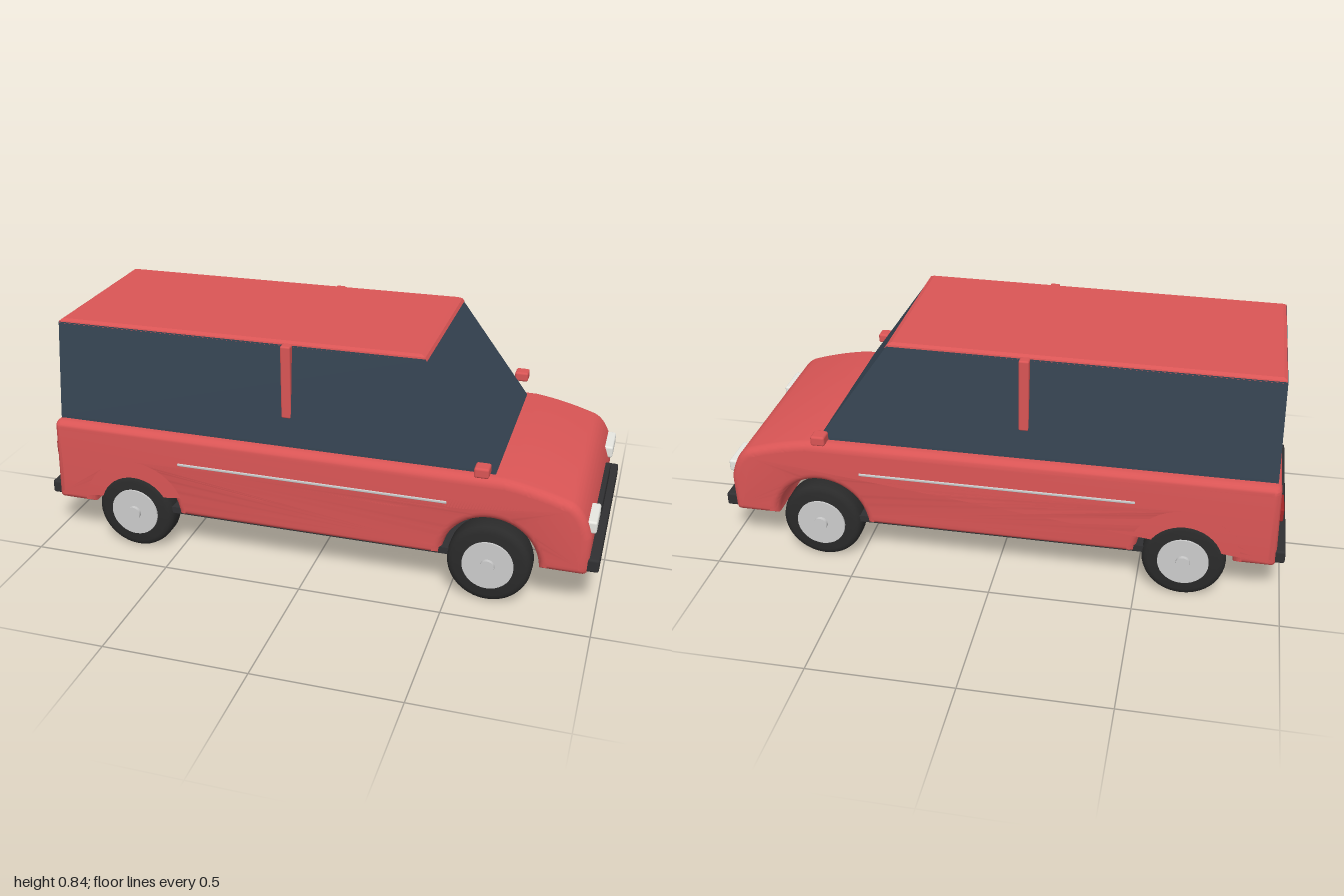
import * as THREE from 'three';
import { toCreasedNormals } from 'three/addons/utils/BufferGeometryUtils.js';
import { RoundedBoxGeometry } from 'three/addons/geometries/RoundedBoxGeometry.js';
import { ConvexGeometry } from 'three/addons/geometries/ConvexGeometry.js';

const paint = (color) => new THREE.MeshStandardMaterial({ color });
const RED = paint(0xd95555), GLASS = paint(0x364452), DARK = paint(0x303032);
const RUBBER = paint(0x2a2a2a), METAL = paint(0xbcbcbc), LAMP = paint(0xe6e6e0), TAIL = paint(0xa32626);
const AXLES = { rear: -0.66, front: 0.635 };
const AXLE_Y = 0.147;

export function createModel() {
  const car = new THREE.Group();
  car.name = 'car';

  const add = (name, geometry, material, x = 0, y = 0, z = 0, parent = car) => {
    const mesh = new THREE.Mesh(geometry, material);
    mesh.name = name;
    mesh.position.set(x, y, z);
    parent.add(mesh);
    return mesh;
  };
  const block = (name, w, h, d, r, material, x, y, z) =>
    add(name, new RoundedBoxGeometry(w, h, d, 3, r), material, x, y, z);

  // Lower body: side profile with wheel arches, extruded across the car
  const bottom = 0.152, archR = 0.167;
  const s = new THREE.Shape();
  s.moveTo(-0.955, bottom);
  for (const cx of [AXLES.rear, AXLES.front]) {
    const a = Math.asin((bottom - AXLE_Y) / archR);
    s.lineTo(cx - archR * Math.cos(a), bottom);
    s.absarc(cx, AXLE_Y, archR, Math.PI - a, a, true);
  }
  s.lineTo(0.945, bottom);
  s.quadraticCurveTo(0.965, bottom, 0.965, 0.18);
  s.lineTo(0.968, 0.29);
  s.quadraticCurveTo(0.945, 0.39, 0.895, 0.413);
  s.quadraticCurveTo(0.78, 0.452, 0.67, 0.466);
  s.lineTo(-0.94, 0.466);
  s.quadraticCurveTo(-0.963, 0.466, -0.964, 0.44);
  s.lineTo(-0.972, 0.175);
  s.quadraticCurveTo(-0.972, bottom, -0.955, bottom);
  const bevel = 0.03, halfW = 0.385;
  const bodyGeo = new THREE.ExtrudeGeometry(s, {
    depth: 2 * (halfW - bevel), bevelThickness: bevel, bevelSize: bevel,
    bevelOffset: -bevel, bevelSegments: 5, curveSegments: 24,
  });
  bodyGeo.translate(0, 0, -(halfW - bevel));
  add('body', toCreasedNormals(bodyGeo, 0.6), RED);

  // Tapered cabin and roof: each level is [rear x, rear y, front x, front y, half width]
  const hull = (levels) => new ConvexGeometry(levels.flatMap(([x0, y0, x1, y1, w]) =>
    [w, -w].flatMap((z) => [new THREE.Vector3(x0, y0, z), new THREE.Vector3(x1, y1, z)])));
  add('windows', hull([
    [-0.948, 0.455, 0.645, 0.455, 0.344], [-0.95, 0.475, 0.632, 0.475, 0.343],
    [-0.943, 0.822, 0.382, 0.83, 0.308],
  ]), GLASS);
  add('roof', hull([
    [-0.943, 0.818, 0.388, 0.825, 0.3085], [-0.941, 0.826, 0.381, 0.836, 0.306],
    [-0.93, 0.833, 0.365, 0.843, 0.295],
  ]), RED);

  // Floor plate that shows as dark sills
  add('sill', new THREE.BoxGeometry(1.09, 0.024, 0.75), DARK, -0.012, 0.168, 0);

  // Bumpers and grille
  block('frontBumper', 0.045, 0.048, 0.74, 0.008, DARK, 0.977, 0.189, 0);
  block('rearBumper', 0.045, 0.048, 0.74, 0.008, DARK, -0.978, 0.189, 0);
  block('grille', 0.035, 0.053, 0.326, 0.005, DARK, 0.962, 0.288, 0);

  // Wheel parts, with profiles turned about the axle
  const tyre = new THREE.LatheGeometry([
    [0, -0.05], [0.12, -0.05], [0.132, -0.047], [0.141, -0.039], [0.145, -0.025],
    [0.145, 0.025], [0.141, 0.039], [0.132, 0.047], [0.12, 0.05], [0, 0.05],
  ].map(([r, y]) => new THREE.Vector2(r, y)), 40);
  const tyreGeo = toCreasedNormals(tyre, 0.6);
  const rimGeo = new THREE.CylinderGeometry(0.088, 0.088, 0.02, 36);
  const capGeo = new THREE.CylinderGeometry(0.025, 0.025, 0.03, 20);

  for (const [side, label] of [[1, 'left'], [-1, 'right']]) {
    for (const [end, x] of Object.entries(AXLES)) {
      const wheel = new THREE.Group();
      wheel.name = `${label} ${end} wheel`;
      wheel.position.set(x, AXLE_Y, side * 0.34);
      wheel.rotation.x = side * Math.PI / 2;
      add('tyre', tyreGeo, RUBBER, 0, 0, 0, wheel);
      add('rim', rimGeo, METAL, 0, 0.047, 0, wheel);
      add('hubCap', capGeo, METAL, 0, 0.055, 0, wheel);
      car.add(wheel);
    }
    // Side details
    block(`${label} pillar`, 0.035, 0.262, 0.035, 0.006, RED, -0.092, 0.7, side * 0.318);
    block(`${label} mirror`, 0.05, 0.036, 0.053, 0.008, RED, 0.605, 0.513, side * 0.417);
    block(`${label} trim`, 0.97, 0.01, 0.01, 0.003, METAL, 0, 0.36, side * 0.383);
    // Lamps
    block(`${label} headlight`, 0.035, 0.044, 0.14, 0.008, LAMP, 0.962, 0.326, side * 0.289);
    block(`${label} tailLight`, 0.03, 0.05, 0.1, 0.006, TAIL, -0.964, 0.345, side * 0.3);
  }
  return car;
}
